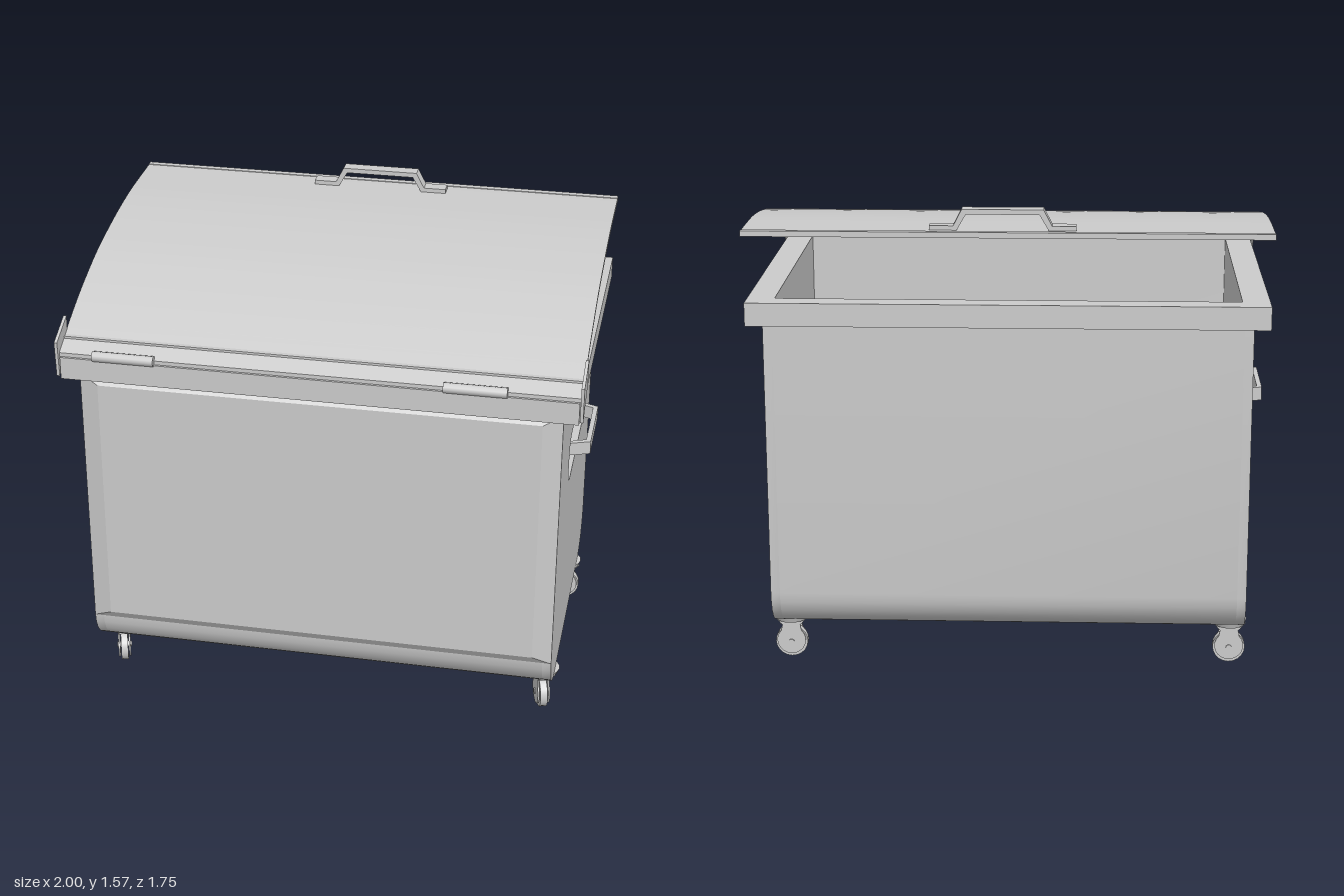
import * as THREE from 'three';
import { toCreasedNormals } from 'three/addons/utils/BufferGeometryUtils.js';

const material = new THREE.MeshStandardMaterial({ color: 0xcccccc, side: THREE.DoubleSide });
const HW = 0.778, HD = 0.522, BASE = 0.15, TOP = 1.2, WALL = 0.03;

function add(parent, name, geometry, x = 0, y = 0, z = 0) {
  const mesh = new THREE.Mesh(geometry, material);
  mesh.name = name;
  mesh.position.set(x, y, z);
  parent.add(mesh);
  return mesh;
}

// Extrudes a (z, y) outline along x, centred on x = 0
function extrudeX(shape, width) {
  const g = new THREE.ExtrudeGeometry(shape, { depth: width, bevelEnabled: false, curveSegments: 8 });
  g.translate(0, 0, -width / 2).rotateY(-Math.PI / 2);
  return toCreasedNormals(g, 0.6);
}

function roundedRect(target, cx, cy, w, h, r) {
  const x = w / 2 - r, y = h / 2 - r;
  target.absarc(cx + x, cy + y, r, 0, Math.PI / 2);
  target.absarc(cx - x, cy + y, r, Math.PI / 2, Math.PI);
  target.absarc(cx - x, cy - y, r, Math.PI, Math.PI * 1.5);
  target.absarc(cx + x, cy - y, r, Math.PI * 1.5, Math.PI * 2);
  target.closePath();
  return target;
}

// Tub section: straight sides with rounded lower corners, inset by t
function tubPoints(t) {
  const d = HD - t, b = BASE + t, r = 0.135 - t, pts = [new THREE.Vector2(d, TOP)];
  for (let i = 0; i <= 6; i++) {
    const a = (i / 6) * Math.PI / 2;
    pts.push(new THREE.Vector2(d - r + r * Math.cos(a), b + r - r * Math.sin(a)));
  }
  return pts.concat(pts.map((p) => new THREE.Vector2(-p.x, p.y)).reverse());
}

// Bent strap with two flat feet, running along x and rising along y
function handleGeometry(rise) {
  const t = 0.016;
  const path = [[-0.23, 0], [-0.145, 0], [-0.115, rise - t], [0.115, rise - t], [0.145, 0], [0.23, 0]];
  const upper = [[0.23, t], [0.155, t], [0.128, rise], [-0.128, rise], [-0.155, t], [-0.23, t]];
  const shape = new THREE.Shape([...path, ...upper].map(([x, y]) => new THREE.Vector2(x, y)));
  return new THREE.ExtrudeGeometry(shape, { depth: 0.045, bevelEnabled: false }).translate(0, 0, -0.0225);
}

function createBody() {
  const body = new THREE.Group();
  body.name = 'body';
  const section = new THREE.Shape([...tubPoints(0), ...tubPoints(WALL).reverse()]);
  add(body, 'tubWalls', extrudeX(section, 2 * (HW - WALL)));

  // End walls with a recess behind each side handle
  for (const side of [-1, 1]) {
    const end = new THREE.Shape(tubPoints(0));
    end.holes.push(roundedRect(new THREE.Path(), -0.03, 0.875, 0.53, 0.17, 0.06));
    add(body, 'endWall', extrudeX(end, WALL), side * (HW - WALL / 2));
    add(body, 'recessBack', extrudeX(new THREE.Shape(tubPoints(0.005)), 0.008), side * (HW - WALL - 0.004));
    const handle = add(body, 'sideHandle', handleGeometry(0.088), side * (HW - WALL), 0.875, -0.018);
    handle.rotation.set(0, side * Math.PI / 2, 0);
    handle.geometry.rotateX(Math.PI / 2);
  }

  // Raised front panel with bevelled margins
  const panel = new THREE.BoxGeometry(2 * HW, 0.92, 0.02);
  const p = panel.attributes.position;
  for (let i = 0; i < p.count; i++) {
    if (p.getZ(i) > 0) p.setXY(i, p.getX(i) * 0.92, p.getY(i) * 0.935);
  }
  panel.computeVertexNormals();
  add(body, 'frontPanel', panel, 0, 0.74, HD + 0.01);

  // Overhanging rim
  const ring = new THREE.Shape();
  const rect = (s, w, d) => s.moveTo(-w, -d).lineTo(w, -d).lineTo(w, d).lineTo(-w, d).closePath();
  rect(ring, 0.828, 0.563);
  const hole = new THREE.Path();
  rect(hole, HW - WALL - 0.008, HD - WALL);
  ring.holes.push(hole);
  const rim = new THREE.ExtrudeGeometry(ring, { depth: 0.075, bevelEnabled: false }).rotateX(-Math.PI / 2);
  add(body, 'rim', rim, 0, 1.195, 0);
  return body;
}

function createLid() {
  const lid = new THREE.Group();
  lid.name = 'lid';
  const curve = new THREE.SplineCurve([
    [0.555, 1.283], [0.46, 1.325], [0.34, 1.373], [0.22, 1.412], [0.09, 1.446],
    [-0.06, 1.471], [-0.2, 1.488], [-0.34, 1.497], [-0.563, 1.499],
  ].map(([z, y]) => new THREE.Vector2(z, y)));
  const top = curve.getPoints(32);
  const under = top.map((q) => new THREE.Vector2(q.x, q.y - 0.014)).reverse();
  add(lid, 'lidPanel', extrudeX(new THREE.Shape([...top, ...under]), 1.666));
  add(lid, 'lidBackLip', new THREE.BoxGeometry(1.666, 0.018, 0.022), 0, 1.492, -0.552);
  add(lid, 'lidFrontBar', new THREE.BoxGeometry(1.66, 0.03, 0.05), 0, 1.3, 0.475);
  add(lid, 'lidHandle', handleGeometry(0.068), 0.015, 1.497, -0.497);

  // Corner cheeks at the hinge side
  const cheek = new THREE.Shape([[0.462, 1.37], [0.572, 1.325], [0.565, 1.205], [0.462, 1.285]]
    .map(([z, y]) => new THREE.Vector2(z, y)));
  for (const side of [-1, 1]) add(lid, 'lidCheek', extrudeX(cheek, 0.01), side * 0.836);

  // Hinges
  for (const x of [-0.62, 0.505]) {
    add(lid, 'hingePin', new THREE.CylinderGeometry(0.017, 0.017, 0.2, 12).rotateZ(Math.PI / 2), x, 1.282, 0.558);
    add(lid, 'hingeLeaf', new THREE.BoxGeometry(0.18, 0.012, 0.07), x, 1.274, 0.525);
  }
  return lid;
}

// Swivel caster with its wheel axle along x
function createCaster() {
  const caster = new THREE.Group();
  caster.name = 'caster';
  const wheel = new THREE.CylinderGeometry(0.054, 0.054, 0.024, 20).rotateZ(Math.PI / 2);
  add(caster, 'wheel', wheel, 0, 0.054, 0);
  const cheek = new THREE.Shape();
  cheek.moveTo(-0.055, 0.142).lineTo(-0.03, 0.115);
  cheek.absarc(0, 0.06, 0.048, Math.PI * 0.75, Math.PI * 2.25);
  cheek.lineTo(0.03, 0.115).lineTo(0.055, 0.142).closePath();
  for (const side of [-1, 1]) add(caster, 'forkCheek', extrudeX(cheek, 0.006), side * 0.018);
  add(caster, 'forkCrown', new THREE.BoxGeometry(0.042, 0.014, 0.075), 0, 0.126, 0);
  add(caster, 'swivelPlate', new THREE.CylinderGeometry(0.058, 0.05, 0.02, 16), 0, 0.143, 0);
  add(caster, 'axle', new THREE.CylinderGeometry(0.01, 0.01, 0.05, 10).rotateZ(Math.PI / 2), 0, 0.054, 0);
  return caster;
}

export function createModel() {
  const model = new THREE.Group();
  model.name = 'wasteContainer';
  model.add(createBody(), createLid());
  for (const x of [-0.735, 0.735]) {
    for (const z of [-0.353, 0.353]) {
      const caster = createCaster();
      caster.position.set(x, 0, z);
      caster.rotation.y = z > 0 ? 0.3 : Math.PI / 2;
      model.add(caster);
    }
  }
  // The container stands turned on the ground
  model.rotation.y = -THREE.MathUtils.degToRad(26);
  const root = new THREE.Group();
  root.name = 'container';
  root.add(model);
  return root;
}
